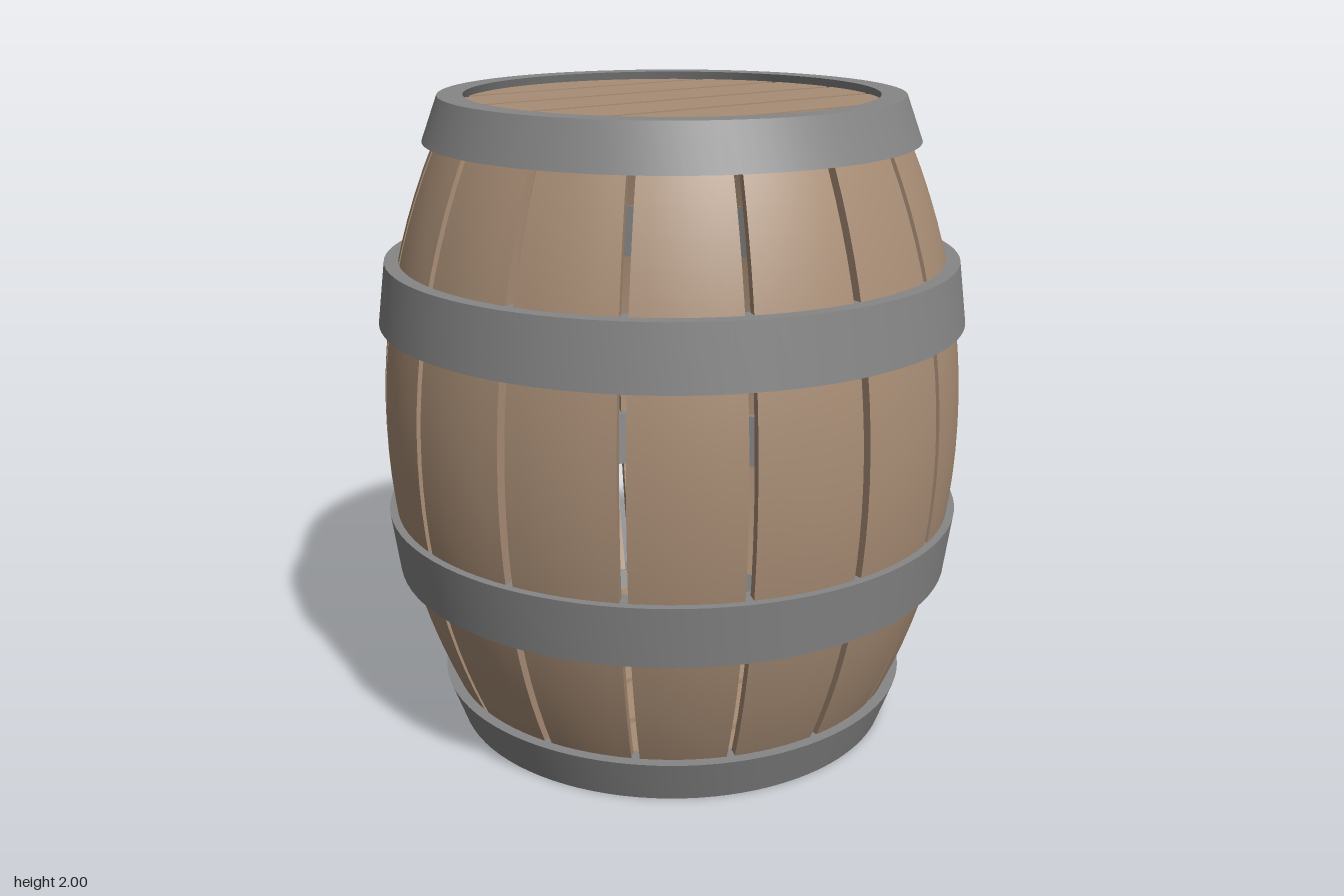
import * as THREE from 'three';
import { mergeGeometries, toCreasedNormals } from 'three/addons/utils/BufferGeometryUtils.js';

const STAVES = 16, GAP = 0.025, THICK = 0.035, LOW = 0.06, HIGH = 1.94;

// Bulging outer radius of the barrel: a circular arc centred on y = 1
const BOW = 2.1;
const bulge = y => 0.905 - BOW + Math.sqrt(BOW * BOW - (y - 1) ** 2);

// Smooth patch from a rule f(u, v) -> Vector3, facing u x v
function patch(nu, nv, f) {
  const pos = [], idx = [];
  for (let j = 0; j <= nv; j++)
    for (let i = 0; i <= nu; i++) pos.push(...f(i / nu, j / nv).toArray());
  for (let j = 0; j < nv; j++)
    for (let i = 0; i < nu; i++) {
      const a = j * (nu + 1) + i, b = a + 1, c = a + nu + 1, d = c + 1;
      idx.push(a, b, d, a, d, c);
    }
  const g = new THREE.BufferGeometry();
  g.setAttribute('position', new THREE.Float32BufferAttribute(pos, 3));
  g.setIndex(idx);
  g.computeVertexNormals();
  return g;
}

// One curved stave with parallel-sided gaps; s runs across (-1..1), d is depth (0 outside, 1 inside)
function staveGeometry() {
  const point = (s, d, t) => {
    const y = LOW + (HIGH - LOW) * t;
    const r = bulge(y) - THICK * d;
    const a = s * (Math.PI / STAVES - Math.asin(GAP / 2 / r));
    return new THREE.Vector3(r * Math.sin(a), y, r * Math.cos(a));
  };
  return mergeGeometries([
    patch(6, 24, (u, v) => point(2 * u - 1, 0, v)),
    patch(6, 24, (u, v) => point(1 - 2 * u, 1, v)),
    patch(1, 24, (u, v) => point(1, u, v)),
    patch(1, 24, (u, v) => point(-1, 1 - u, v)),
    patch(6, 1, (u, v) => point(2 * u - 1, v, 1)),
    patch(6, 1, (u, v) => point(2 * u - 1, 1 - v, 0)),
  ]);
}

// Sloped metal band with a four-cornered section
function hoopGeometry(y0, r0, y1, r1, thick) {
  const profile = [[r0 - thick, y0], [r0, y0], [r1, y1], [r1 - thick, y1], [r0 - thick, y0]]
    .map(p => new THREE.Vector2(...p));
  return toCreasedNormals(new THREE.LatheGeometry(profile, 96), 0.5);
}

// Board cut from a disc of radius R between z0 and z1, lying flat
function boardGeometry(R, z0, z1, depth) {
  const shape = new THREE.Shape();
  const a0 = Math.asin(Math.max(-1, z0 / R)), a1 = Math.asin(Math.min(1, z1 / R));
  shape.absarc(0, 0, R, a0, a1, false);
  shape.absarc(0, 0, R, Math.PI - a1, Math.PI - a0, false);
  shape.closePath();
  const g = new THREE.ExtrudeGeometry(shape, { depth, bevelEnabled: false, curveSegments: 12 });
  return g.rotateX(-Math.PI / 2);
}

export function createModel() {
  const barrel = new THREE.Group();
  barrel.name = 'barrel';
  const wood = new THREE.MeshStandardMaterial({ color: 0xa88d75 });
  wood.name = 'wood';
  const metal = new THREE.MeshStandardMaterial({ color: 0x868686 });
  metal.name = 'grey metal';
  const add = (name, geometry, material, parent = barrel) => {
    const mesh = new THREE.Mesh(geometry, material);
    mesh.name = name;
    parent.add(mesh);
    return mesh;
  };

  // Staves, with a gap on each axis
  const staves = new THREE.Group();
  staves.name = 'staves';
  barrel.add(staves);
  const stave = staveGeometry();
  for (let i = 0; i < STAVES; i++)
    add('stave', stave, wood, staves).rotation.y = (i + 0.5) * 2 * Math.PI / STAVES;

  // End rims and the two middle hoops, mirrored about y = 1
  add('topRim', hoopGeometry(1.865, 0.755, 2, 0.705, 0.077), metal);
  add('bottomRim', hoopGeometry(0, 0.705, 0.14, 0.755, 0.077), metal);
  add('upperHoop', hoopGeometry(1.32, 0.91, 1.51, 0.885, 0.085), metal);
  add('lowerHoop', hoopGeometry(0.525, 0.885, 0.715, 0.91, 0.085), metal);

  // Planked lid and base, slightly recessed in the rims
  const R = 0.655, PITCH = 0.224, DEPTH = 0.05;
  for (const [name, y] of [['lid', 1.975 - DEPTH], ['base', 0.025]]) {
    const end = new THREE.Group();
    end.name = name;
    end.position.y = y;
    barrel.add(end);
    for (let k = -3; k < 3; k++)
      add(name + 'Board', boardGeometry(R, k * PITCH + GAP / 2, (k + 1) * PITCH - GAP / 2, DEPTH), wood, end);
  }
  return barrel;
}
